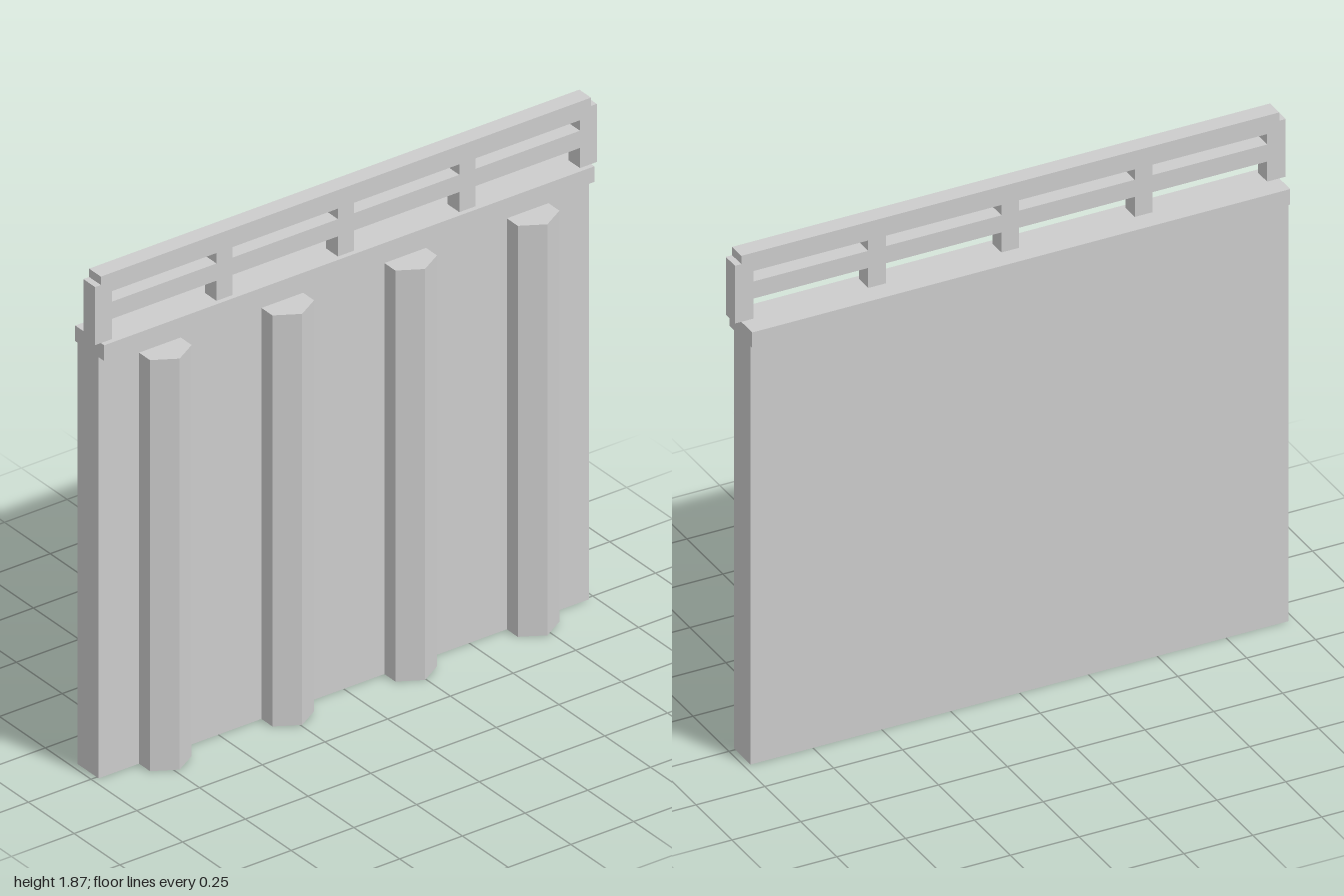
import * as THREE from 'three';

const concrete = new THREE.MeshStandardMaterial({ color: 0xcccccc });
concrete.name = 'light grey';

function part(name, geometry) {
  const mesh = new THREE.Mesh(geometry, concrete);
  mesh.name = name;
  return mesh;
}

// Box given by its limits on each axis
function block(name, x0, x1, y0, y1, z0, z1) {
  const g = new THREE.BoxGeometry(x1 - x0, y1 - y0, z1 - z0);
  g.translate((x0 + x1) / 2, (y0 + y1) / 2, (z0 + z1) / 2);
  return part(name, g);
}

const toShape = (pts) => new THREE.Shape(pts.map(([x, y]) => new THREE.Vector2(x, y)));

export function createModel() {
  const model = new THREE.Group();
  const W = 0.977;

  // Wall slab and the overhanging cap
  model.add(block('wall', -W, W, 0, 1.566, -0.106, 0.01));
  model.add(block('cap', -W, W, 1.566, 1.624, -0.118, 0.04));

  // Pointed vertical ribs on the front
  const ribs = new THREE.Group();
  ribs.name = 'ribs';
  const ribGeo = new THREE.ExtrudeGeometry(
    toShape([[-0.083, 0], [-0.083, -0.07], [0, -0.118], [0.083, -0.07], [0.083, 0]]),
    { depth: 1.528, bevelEnabled: false });
  ribGeo.rotateX(-Math.PI / 2);
  for (const x of [-0.733, -0.245, 0.245, 0.733]) {
    const rib = part('rib', ribGeo);
    rib.position.x = x;
    ribs.add(rib);
  }
  model.add(ribs);

  // Railing: one plate with four bays, each open above and below the middle rail
  const bays = [[-0.933, -0.516], [-0.452, -0.032], [0.032, 0.452], [0.516, 0.933]];
  const base = 1.624, midLow = 1.699, midHigh = 1.763, topLow = 1.802, postTop = 1.84, top = 1.871;
  const outline = [[-1, base]];
  for (const [a, b] of bays) outline.push([a, base], [a, midLow], [b, midLow], [b, base]);
  outline.push([1, base], [1, postTop], [W, postTop], [W, top], [-W, top], [-W, postTop], [-1, postTop]);
  const railShape = toShape(outline);
  for (const [a, b] of bays) {
    railShape.holes.push(toShape([[a, midHigh], [a, topLow], [b, topLow], [b, midHigh]]));
  }
  const railGeo = new THREE.ExtrudeGeometry(railShape, { depth: 0.064, bevelEnabled: false });
  railGeo.translate(0, 0, -0.042);
  model.add(part('railing', railGeo));

  return model;
}
